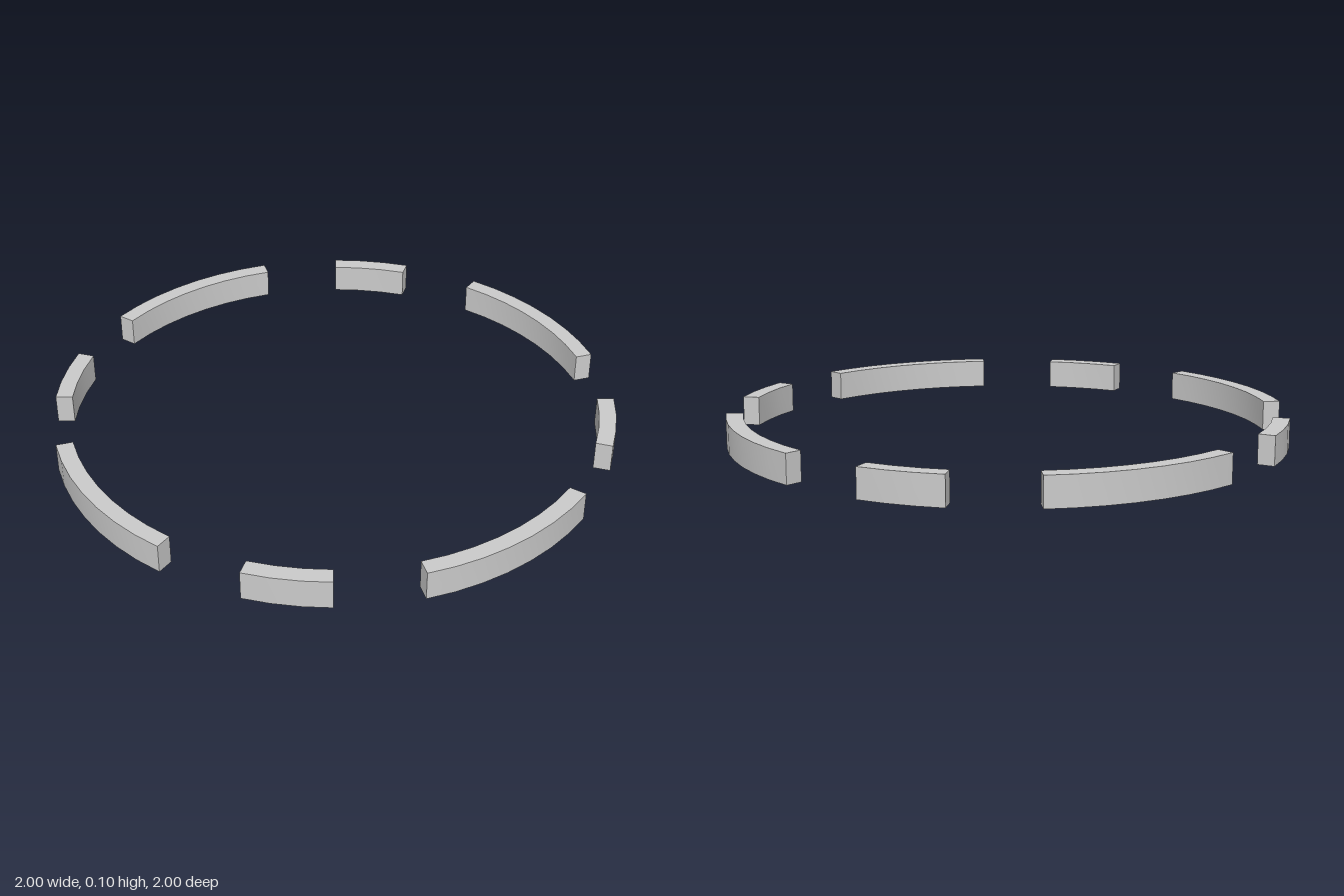
import * as THREE from 'three';
import { toCreasedNormals } from 'three/addons/utils/BufferGeometryUtils.js';

const OUTER = 1, INNER = 0.94, HEIGHT = 0.105;
const STEP = Math.PI / 32; // the full ring has 64 facets

// Curved bar covering ring facets from..to, standing on y = 0
function arcBar(from, to) {
  const points = [];
  const add = (r, i) => points.push(new THREE.Vector2(r * Math.cos(i * STEP), r * Math.sin(i * STEP)));
  for (let i = from; i <= to; i++) add(OUTER, i);
  for (let i = to; i >= from; i--) add(INNER, i);
  const geometry = new THREE.ExtrudeGeometry(new THREE.Shape(points), { depth: HEIGHT, bevelEnabled: false });
  geometry.rotateX(Math.PI / 2).translate(0, HEIGHT, 0);
  return toCreasedNormals(geometry, Math.PI / 6);
}

export function createModel() {
  const model = new THREE.Group();
  model.name = 'brokenRing';
  const material = new THREE.MeshStandardMaterial({ color: 0xcccccc });
  const parts = { longArc: arcBar(-3, 4), shortArc: arcBar(7, 10) };

  // One long and one short arc per quarter turn
  for (let quarter = 0; quarter < 4; quarter++) {
    for (const [name, geometry] of Object.entries(parts)) {
      const arc = new THREE.Mesh(geometry, material);
      arc.name = name + (quarter + 1);
      arc.rotation.y = quarter * Math.PI / 2;
      model.add(arc);
    }
  }
  return model;
}
